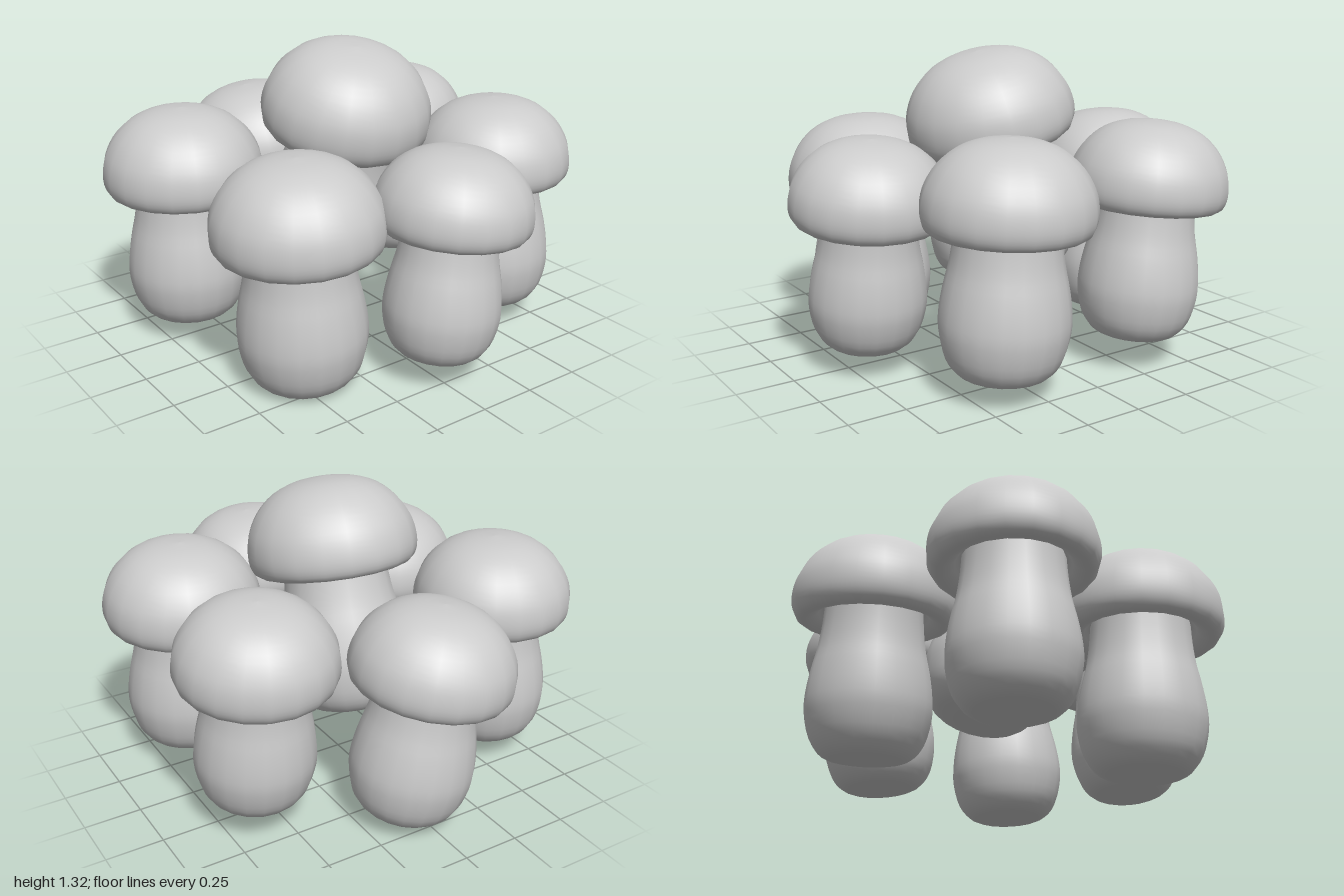
import * as THREE from 'three';

const material = new THREE.MeshStandardMaterial({ color: 0xcccccc });
const SIDES = 20;

// Smooth turned solid from a few [radius, height] points, bottom to top
function turned(points, steps) {
  const curve = new THREE.SplineCurve(points.map(([r, y]) => new THREE.Vector2(r, y)));
  const profile = curve.getPoints(steps).map((p) => new THREE.Vector2(Math.max(p.x, 0), p.y));
  return new THREE.LatheGeometry(profile, SIDES);
}

// Bulbous stem, one unit tall mushroom
const stemGeometry = turned([
  [0, 0], [0.11, 0.003], [0.19, 0.022], [0.245, 0.09], [0.273, 0.2], [0.273, 0.29],
  [0.258, 0.39], [0.236, 0.49], [0.222, 0.6], [0.215, 0.72],
], 27);

// Domed cap with a rolled rim and a recessed underside
const capGeometry = turned([
  [0.12, 0.7], [0.215, 0.68], [0.255, 0.635], [0.3, 0.612], [0.338, 0.625], [0.359, 0.67],
  [0.36, 0.735], [0.342, 0.805], [0.295, 0.883], [0.22, 0.948], [0.12, 0.987], [0, 1],
], 33);

// One mushroom: foot position, size, and lean towards +x and +z in radians
function makeMushroom(name, [x, y, z], size, capSize, leanX, leanZ) {
  const group = new THREE.Group();
  group.name = name;
  const stem = new THREE.Mesh(stemGeometry, material);
  stem.name = 'stem';
  const cap = new THREE.Mesh(capGeometry, material);
  cap.name = 'cap';
  cap.scale.set(capSize, 1, capSize);
  group.add(stem, cap);
  group.position.set(x, y, z);
  group.rotation.set(leanZ, 0, -leanX);
  group.scale.setScalar(size);
  return group;
}

export function createModel() {
  const cluster = new THREE.Group();
  cluster.name = 'mushroomCluster';
  cluster.add(
    // Raised middle mushroom, tipped forward
    makeMushroom('centreMushroom', [0.01, 0.31, -0.14], 1.03, 1, 0, 0.24),
    // Ring of six around it
    makeMushroom('frontMushroom', [0.02, 0.105, 0.67], 0.9, 1.02, 0.1, 0),
    makeMushroom('frontLeftMushroom', [0.6, 0.085, 0.365], 0.965, 1, 0, -0.04),
    makeMushroom('backLeftMushroom', [0.6, 0.125, -0.31], 0.93, 1, 0, -0.09),
    makeMushroom('backMushroom', [0.06, 0.045, -0.62], 0.955, 1, -0.15, -0.06),
    makeMushroom('backRightMushroom', [-0.61, 0.085, -0.32], 0.965, 1, 0, 0),
    makeMushroom('frontRightMushroom', [-0.455, 0.005, 0.385], 0.995, 1, -0.04, 0.01),
  );
  return cluster;
}
